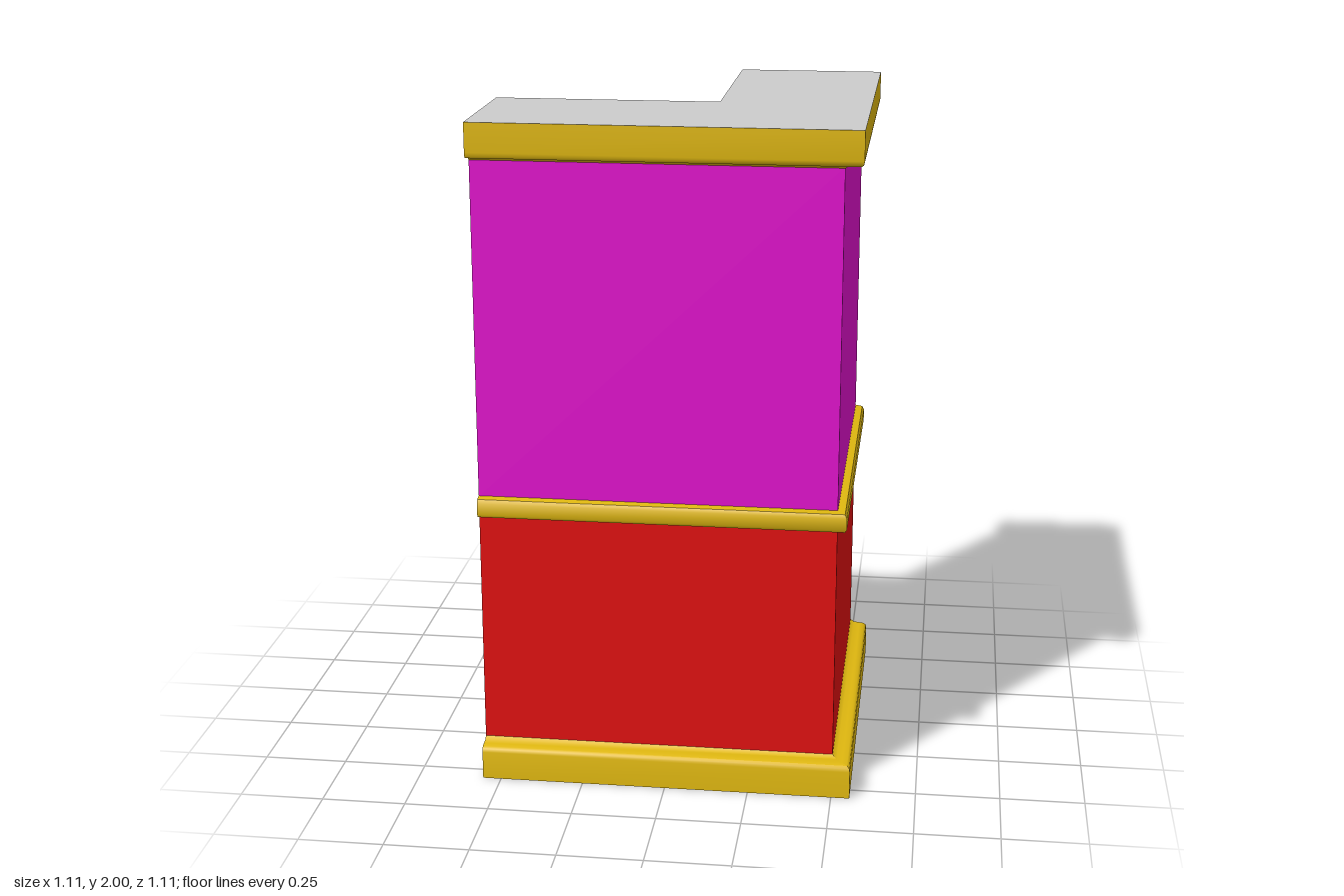
import * as THREE from 'three';
import { toCreasedNormals } from 'three/addons/utils/BufferGeometryUtils.js';

const END = 0.555;    // open ends of both legs at -END
const OUTER = 0.5;    // outer wall plane
const INNER = 0.166;  // inner wall plane
const GREY = 0xcccccc;

// Profiles from bottom to top: [projection from the wall, height]
const base = [[0.055, 0], [0.055, 0.085], [0.053, 0.096], [0.046, 0.102], [0.03, 0.104], [0.012, 0.106], [0, 0.115]];
const rail = [[0, 0.825], [0.022, 0.829], [0.028, 0.838], [0.028, 0.873], [0.022, 0.884], [0, 0.888]];
const crown = base.map(([d, y]) => [d, 2 - y]).reverse();
const lowerWall = [[0, 0.11], [0, 0.828]];
const upperWall = [[0, 0.886], [0, 1.89]];

function material(color) {
  return new THREE.MeshStandardMaterial({ color, side: THREE.DoubleSide });
}

// Sweeps a profile round the mitred corner, along both legs
function sweep(name, profile, color, inside) {
  let pts = profile.map(([d, y]) => [inside ? INNER - d : OUTER + d, y]);
  if (inside) pts = pts.reverse();
  const path = (c, y) => [
    new THREE.Vector3(-END, y, c),
    new THREE.Vector3(c, y, c),
    new THREE.Vector3(c, y, -END),
  ];
  const corners = [];
  for (let i = 0; i < pts.length - 1; i++) {
    const low = path(...pts[i]);
    const high = path(...pts[i + 1]);
    for (let k = 0; k < 2; k++) {
      corners.push(low[k], low[k + 1], high[k + 1], low[k], high[k + 1], high[k]);
    }
  }
  const geometry = new THREE.BufferGeometry().setFromPoints(corners);
  const mesh = new THREE.Mesh(toCreasedNormals(geometry, 0.7), material(color));
  mesh.name = name;
  return mesh;
}

// L-shaped plate, facing down (side 1) or up (side -1)
function cap(name, y, side) {
  const n = 0.111;
  const outline = [[-END, n], [n, n], [n, -END], [END, -END], [END, END], [-END, END]];
  const shape = new THREE.Shape(outline.map(([x, z]) => new THREE.Vector2(x, side * z)));
  const geometry = new THREE.ShapeGeometry(shape).rotateX(side * Math.PI / 2);
  const mesh = new THREE.Mesh(geometry, material(GREY));
  mesh.name = name;
  mesh.position.y = y;
  return mesh;
}

export function createModel() {
  const model = new THREE.Group();
  model.name = 'wallCorner';

  // Outer and inner faces share the same profiles
  for (const inside of [false, true]) {
    const side = inside ? 'inner' : 'outer';
    const trim = inside ? 0x1070cc : 0xe0b810;
    const face = new THREE.Group();
    face.name = side + 'Face';
    face.add(
      sweep(side + 'Baseboard', base, trim, inside),
      sweep(side + 'LowerWall', lowerWall, inside ? 0x7fe010 : 0xe01010, inside),
      sweep(side + 'ChairRail', rail, trim, inside),
      sweep(side + 'UpperWall', upperWall, inside ? 0x10e0c6 : 0xe010cc, inside),
      sweep(side + 'Crown', crown, trim, inside),
    );
    model.add(face);
  }

  // Closing plates
  model.add(cap('bottomCap', 0, 1), cap('topCap', 2, -1));
  return model;
}
